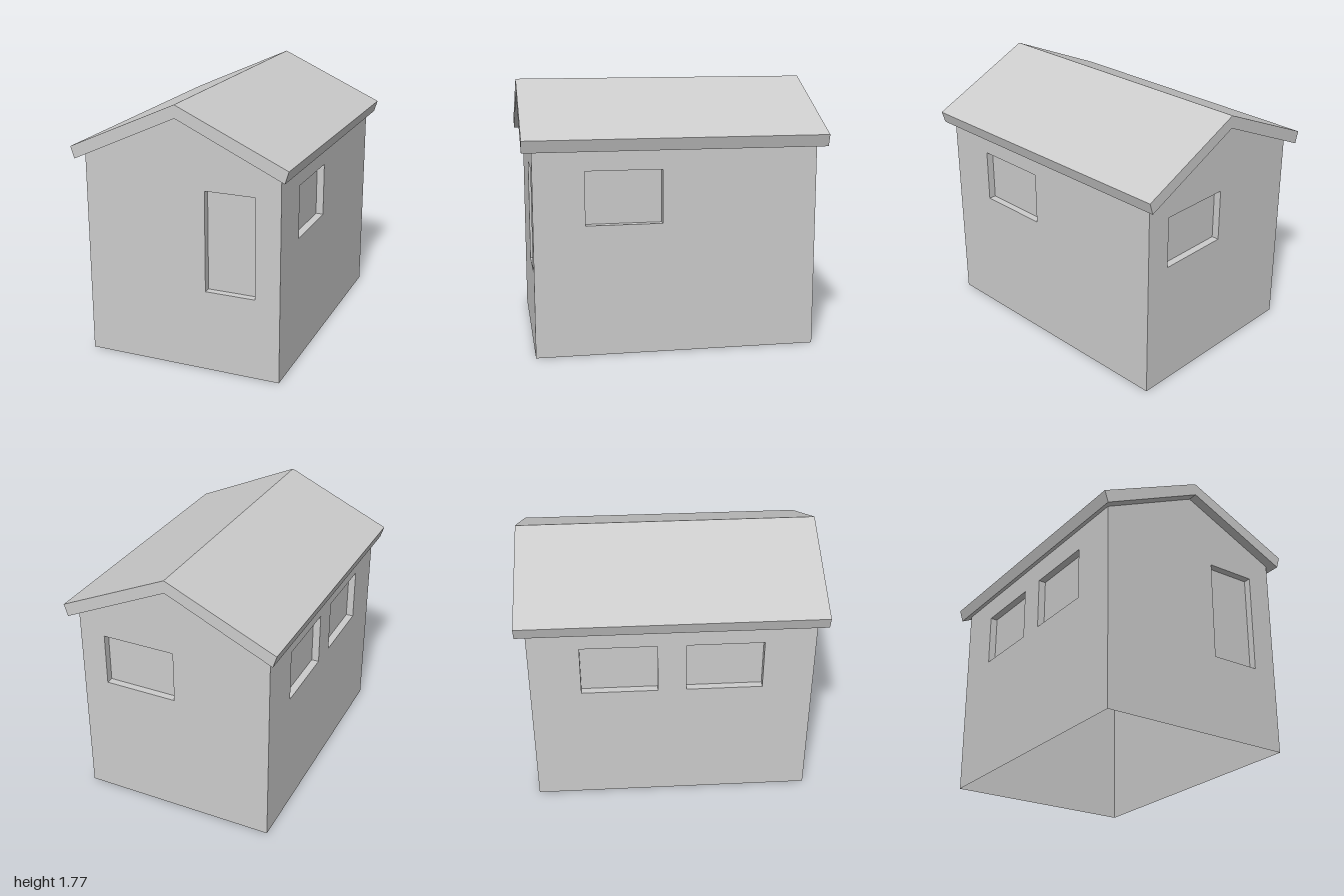
import * as THREE from 'three';

const HALF_W = 0.672, HALF_D = 0.935, EAVE = 1.375, RIDGE = 1.685, RECESS = 0.05;

const material = new THREE.MeshStandardMaterial({
  color: 0xcccccc, flatShading: true, side: THREE.DoubleSide,
});

function mesh(name, geometry) {
  const m = new THREE.Mesh(geometry, material);
  m.name = name;
  return m;
}

// Box open at the front: four reveals and a back pane set behind the wall
function recess(name, [u0, u1, v0, v1]) {
  const g = new THREE.BoxGeometry(u1 - u0, v1 - v0, RECESS);
  const index = Array.from(g.index.array);
  index.splice(24, 6); // drop the outward face
  g.setIndex(index);
  g.clearGroups();
  // turn the faces towards the opening
  for (let i = 0; i < index.length; i += 3) {
    g.index.setX(i, index[i + 1]);
    g.index.setX(i + 1, index[i]);
  }
  const n = g.attributes.normal;
  for (let i = 0; i < n.count; i++) n.setXYZ(i, -n.getX(i), -n.getY(i), -n.getZ(i));
  g.translate((u0 + u1) / 2, (v0 + v1) / 2, -RECESS / 2);
  return mesh(name, g);
}

// Thin wall drawn in its own plane, facing local +z, with recessed openings
function wall(name, outline, openings, angle, distance) {
  const group = new THREE.Group();
  group.name = name;
  const shape = new THREE.Shape(outline.map(([x, y]) => new THREE.Vector2(x, y)));
  for (const { part, rect } of openings) {
    const [u0, u1, v0, v1] = rect;
    shape.holes.push(new THREE.Path([
      new THREE.Vector2(u0, v0), new THREE.Vector2(u0, v1),
      new THREE.Vector2(u1, v1), new THREE.Vector2(u1, v0),
    ]));
    group.add(recess(part, rect));
  }
  group.add(mesh(name + 'Panel', new THREE.ShapeGeometry(shape)));
  group.rotation.y = angle;
  group.position.set(Math.sin(angle) * distance, 0, Math.cos(angle) * distance);
  return group;
}

export function createModel() {
  const model = new THREE.Group();
  model.name = 'cabin';

  const gable = [[-HALF_W, 0], [HALF_W, 0], [HALF_W, EAVE], [0, RIDGE], [-HALF_W, EAVE]];
  const side = [[-HALF_D, 0], [HALF_D, 0], [HALF_D, EAVE], [-HALF_D, EAVE]];
  const low = 0.87, high = 1.225;

  // Walls, open underneath
  model.add(
    wall('frontWall', gable, [
      { part: 'tallFrontOpening', rect: [0.165, 0.505, 0.55, high] },
    ], 0, HALF_D),
    wall('backWall', gable, [
      { part: 'backWindow', rect: [-0.495, 0.005, low, high] },
    ], Math.PI, HALF_D),
    wall('leftWall', side, [
      { part: 'leftWindow', rect: [-0.6, -0.095, low, high] },
    ], Math.PI / 2, HALF_W),
    wall('rightWall', side, [
      { part: 'rightRearWindow', rect: [-0.6, -0.095, low, high] },
      { part: 'rightFrontWindow', rect: [0.095, 0.6, low, high] },
    ], -Math.PI / 2, HALF_W),
  );

  // Gabled roof slab with overhanging eaves
  const profile = [
    [-0.715, 1.355], [0, RIDGE], [0.715, 1.355],
    [0.74, 1.435], [0, 1.77], [-0.74, 1.435],
  ];
  const roof = new THREE.ExtrudeGeometry(
    new THREE.Shape(profile.map(([x, y]) => new THREE.Vector2(x, y))),
    { depth: 2, bevelEnabled: false },
  );
  roof.translate(0, 0, -1);
  model.add(mesh('roof', roof));

  return model;
}
